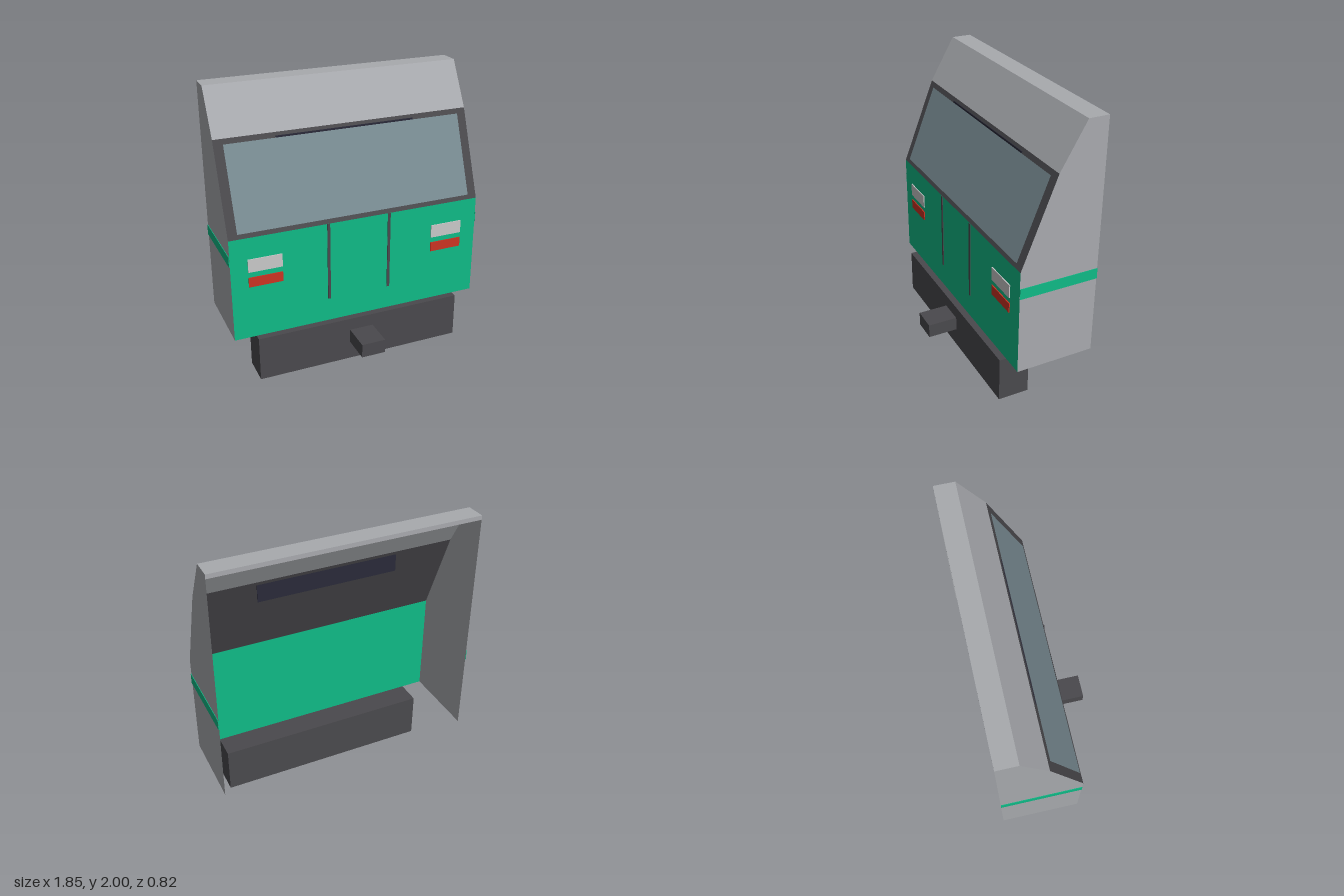
import * as THREE from 'three';

const mat = (name, color, side = THREE.FrontSide) => {
  const m = new THREE.MeshStandardMaterial({ color, side });
  m.name = name;
  return m;
};

export function createModel() {
  const group = new THREE.Group();
  group.name = 'trainCabFront';

  const grey = mat('bodyGrey', 0xa8aaae, THREE.DoubleSide);
  const green = mat('frontGreen', 0x0fba86, THREE.DoubleSide);
  const dark = mat('darkGrey', 0x4a494d, THREE.DoubleSide);
  const glass = mat('windscreenGlass', 0x788b92);
  const white = mat('headlightWhite', 0xc9c9c9);
  const red = mat('tailLightRed', 0xcc3322);
  const navy = mat('displayNavy', 0x2a2a39);

  const add = (name, geometry, material) => {
    const mesh = new THREE.Mesh(geometry, material);
    mesh.name = name;
    group.add(mesh);
    return mesh;
  };
  // Box given by its minimum and maximum corners
  const box = (name, material, [x0, y0, z0], [x1, y1, z1]) =>
    add(name, new THREE.BoxGeometry(x1 - x0, y1 - y0, z1 - z0), material)
      .position.set((x0 + x1) / 2, (y0 + y1) / 2, (z0 + z1) / 2);
  // Full-width sheet rising from [z0, y0] to [z1, y1], pushed outwards by lift
  const sheet = (name, material, halfWidth, [z0, y0], [z1, y1], lift = 0) => {
    const mesh = add(name, new THREE.PlaneGeometry(halfWidth * 2, Math.hypot(z1 - z0, y1 - y0)), material);
    const a = Math.atan2(z1 - z0, y1 - y0);
    mesh.rotation.x = a;
    mesh.position.set(0, (y0 + y1) / 2 - Math.sin(a) * lift, (z0 + z1) / 2 + Math.cos(a) * lift);
  };

  // Side outline as [z, y]: floor, waist, windscreen top, roof front, roof back
  const W = 0.92;
  const floor = [0.148, 0.33], waist = [0.148, 1.08], brow = [-0.09, 1.69];
  const roofFront = [-0.268, 2], roofBack = [-0.41, 2], backFloor = [-0.41, 0.33];

  // Folded front shell
  sheet('frontPanel', green, W, floor, waist);
  sheet('windscreenFrame', dark, W, waist, brow);
  sheet('upperPanel', grey, W, brow, roofFront);
  box('roof', grey, [-W, 1.97, roofBack[0]], [W, 2, roofFront[0]]);

  // Glass lies on the sloping frame
  const onSlope = (y) => [waist[0] + (brow[0] - waist[0]) * (y - waist[1]) / (brow[1] - waist[1]), y];
  sheet('windscreen', glass, 0.855, onSlope(1.11), onSlope(1.655), 0.004);

  // Destination display just inside the top of the windscreen
  box('destinationDisplay', navy, [-0.5, 1.54, -0.08], [0.5, 1.668, -0.075]);

  // Side walls, shaped in (z, y) and turned to face sideways
  const outline = new THREE.Shape([floor, waist, brow, roofFront, roofBack, backFloor]
    .map(([z, y]) => new THREE.Vector2(-z, y)));

  for (const s of [-1, 1]) {
    const side = s > 0 ? 'left' : 'right';
    const wall = add(side + 'Wall', new THREE.ShapeGeometry(outline), grey);
    wall.rotation.y = Math.PI / 2;
    wall.position.x = s * W;

    const plate = (name, material, x0, x1, y0, y1, z0, z1) =>
      box(side + name, material,
        [Math.min(s * x0, s * x1), y0, z0], [Math.max(s * x0, s * x1), y1, z1]);
    plate('Stripe', green, W + 0.001, W + 0.005, 0.89, 0.965, -0.41, 0.148);
    plate('Headlight', white, 0.56, 0.80, 0.83, 0.925, 0.149, 0.156);
    plate('TailLight', red, 0.56, 0.80, 0.72, 0.79, 0.149, 0.156);
    plate('DoorSeam', dark, 0.216, 0.236, 0.505, 1.08, 0.149, 0.154);
  }

  // Underframe and coupler
  box('underframe', dark, [-0.765, 0, -0.025], [0.765, 0.328, 0.195]);
  box('coupler', dark, [-0.088, 0.135, 0.195], [0.088, 0.237, 0.41]);

  return group;
}
